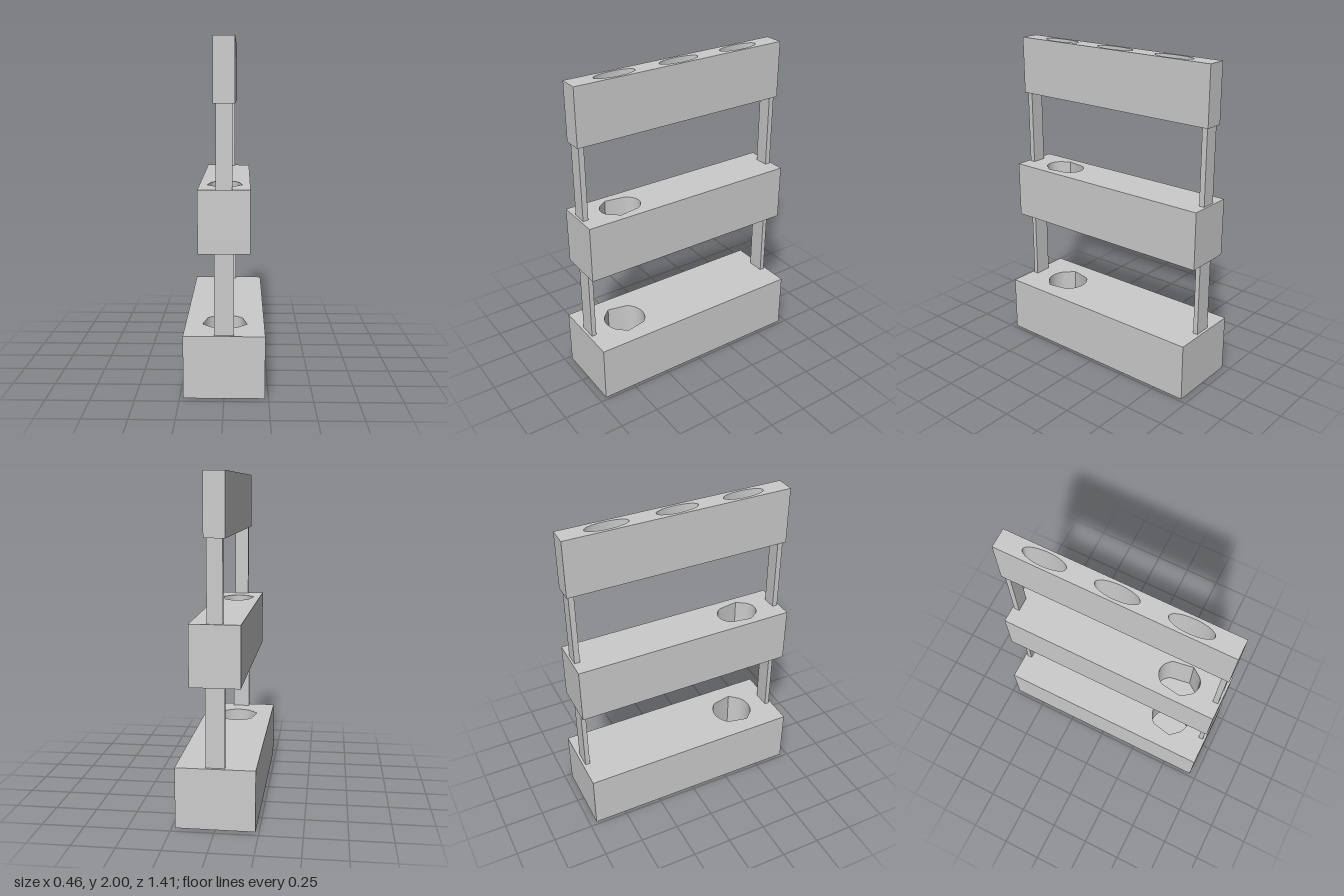
import * as THREE from 'three';
import { toCreasedNormals } from 'three/addons/utils/BufferGeometryUtils.js';

const material = new THREE.MeshStandardMaterial({ color: 0xcccccc });
const HALF_LENGTH = 0.705;
const FLOOR = 0.05; // solid thickness under the blind holes

function addBox(parent, name, w, h, d, x, y, z) {
  const mesh = new THREE.Mesh(new THREE.BoxGeometry(w, h, d), material);
  mesh.name = name;
  mesh.position.set(x, y, z);
  parent.add(mesh);
}

// Smooth oval opening
function ovalHole(rx, rz, z) {
  return new THREE.Path().absellipse(0, -z, rx, rz, 0, Math.PI * 2, false, 0);
}

// Oval opening with rounded ends and faceted sides
function facetedHole(rx, rz, z) {
  const points = [];
  const arc = (from, to) => {
    for (let i = 0; i <= 12; i++) {
      const a = from + (to - from) * i / 12;
      points.push(new THREE.Vector2(rx * Math.cos(a), -z + rz * Math.sin(a)));
    }
  };
  arc(0.65, Math.PI - 0.65);
  points.push(new THREE.Vector2(-rx, -z - rz * 0.37));
  arc(Math.PI + 0.93, Math.PI * 2 - 0.93);
  points.push(new THREE.Vector2(rx, -z - rz * 0.37));
  return new THREE.Path(points);
}

// Block with blind holes: a pierced upper body on a solid floor
function makeBlock(name, halfWidth, bottom, top, holes) {
  const block = new THREE.Group();
  block.name = name;
  const w = halfWidth, l = HALF_LENGTH;
  const shape = new THREE.Shape([[-w, -l], [w, -l], [w, l], [-w, l]].map(p => new THREE.Vector2(...p)));
  shape.holes.push(...holes);
  const geometry = new THREE.ExtrudeGeometry(shape, {
    depth: top - bottom - FLOOR, bevelEnabled: false, curveSegments: 32,
  });
  geometry.rotateX(-Math.PI / 2);
  const body = new THREE.Mesh(toCreasedNormals(geometry, 0.6), material);
  body.name = name + 'Body';
  body.position.y = bottom + FLOOR;
  block.add(body);
  addBox(block, name + 'Floor', 2 * w, FLOOR, 2 * l, 0, bottom + FLOOR / 2, 0);
  return block;
}

export function createModel() {
  const model = new THREE.Group();
  model.name = 'tieredHolder';

  // Three stacked tiers, narrowing upward
  model.add(
    makeBlock('bottomTier', 0.23, 0, 0.36, [facetedHole(0.13, 0.13, 0.42)]),
    makeBlock('middleTier', 0.145, 0.825, 1.18, [facetedHole(0.1, 0.13, 0.42)]),
    makeBlock('topTier', 0.06, 1.645, 2, [-0.425, 0, 0.422].map(z => ovalHole(0.043, 0.13, z))),
  );

  // Flat posts at both ends
  for (const [side, end] of [[1, 'front'], [-1, 'back']]) {
    addBox(model, end + 'LowerPost', 0.11, 0.465, 0.03, 0, 0.5925, side * 0.673);
    addBox(model, end + 'UpperPost', 0.09, 0.465, 0.034, 0, 1.4125, side * 0.675);
  }
  return model;
}
